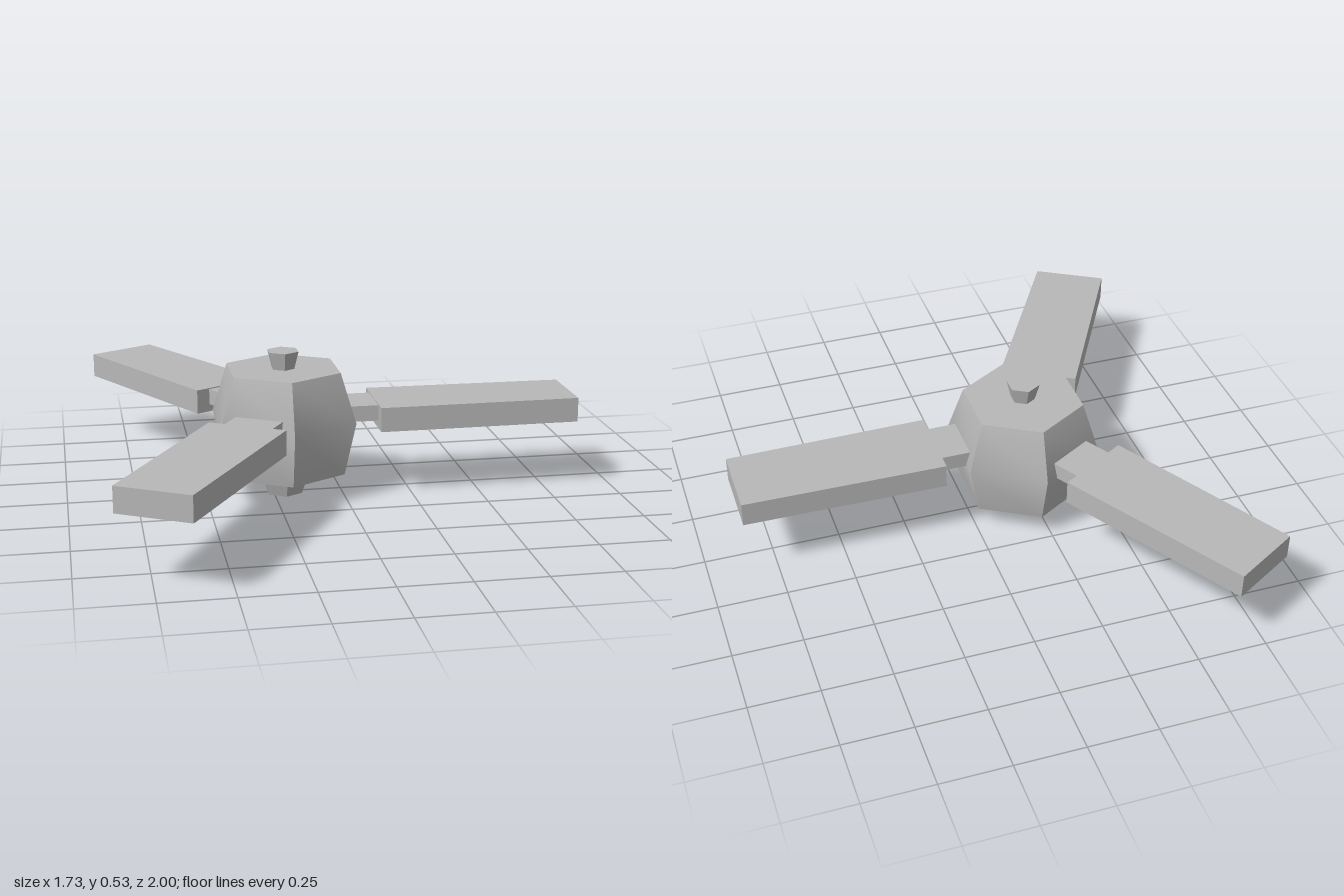
import * as THREE from 'three';
import { toCreasedNormals } from 'three/addons/utils/BufferGeometryUtils.js';

const HUB_X = -0.21;

// Six-sided solid turned from [radius, y] points, listed bottom to top
function hexTurned(points) {
  const profile = points.map(([r, y]) => new THREE.Vector2(r, y));
  return toCreasedNormals(new THREE.LatheGeometry(profile, 6), 0.75);
}

// Box from x0 to x1 whose half width goes from w0 to w1
function taperedBar(x0, x1, y0, y1, w0, w1) {
  const geo = new THREE.BoxGeometry(x1 - x0, y1 - y0, 2);
  geo.translate((x0 + x1) / 2, (y0 + y1) / 2, 0);
  const p = geo.attributes.position;
  for (let i = 0; i < p.count; i++) {
    const t = (p.getX(i) - x0) / (x1 - x0);
    p.setZ(i, p.getZ(i) * (w0 + (w1 - w0) * t));
  }
  return toCreasedNormals(geo, 0.5);
}

export function createModel() {
  const model = new THREE.Group();
  model.name = 'ceilingFan';
  const grey = new THREE.MeshStandardMaterial({ color: 0xb8b8b8 });
  grey.name = 'grey';

  const add = (parent, name, geo) => {
    const mesh = new THREE.Mesh(geo, grey);
    mesh.name = name;
    parent.add(mesh);
  };

  const fan = new THREE.Group();
  fan.name = 'fan';
  fan.position.x = HUB_X;
  model.add(fan);

  // Motor housing with its mount above and cap below
  add(fan, 'motorHousing', hexTurned([[0, 0.09], [0.237, 0.09], [0.282, 0.285], [0.222, 0.468], [0, 0.468]]));
  add(fan, 'topMount', hexTurned([[0, 0.46], [0.042, 0.46], [0.061, 0.533], [0, 0.533]]));
  add(fan, 'bottomCap', hexTurned([[0, 0], [0.07, 0], [0.104, 0.092], [0, 0.092]]));

  // Three blades, each on a short bracket
  const bracketGeo = taperedBar(0.2, 0.345, 0.278, 0.336, 0.09, 0.09);
  const bladeGeo = taperedBar(0.335, 1.075, 0.25, 0.34, 0.145, 0.136);
  for (let i = 0; i < 3; i++) {
    const arm = new THREE.Group();
    arm.name = `bladeArm${i + 1}`;
    arm.rotation.y = (i * 2 * Math.PI) / 3;
    add(arm, 'bracket', bracketGeo);
    add(arm, 'blade', bladeGeo);
    fan.add(arm);
  }
  return model;
}
